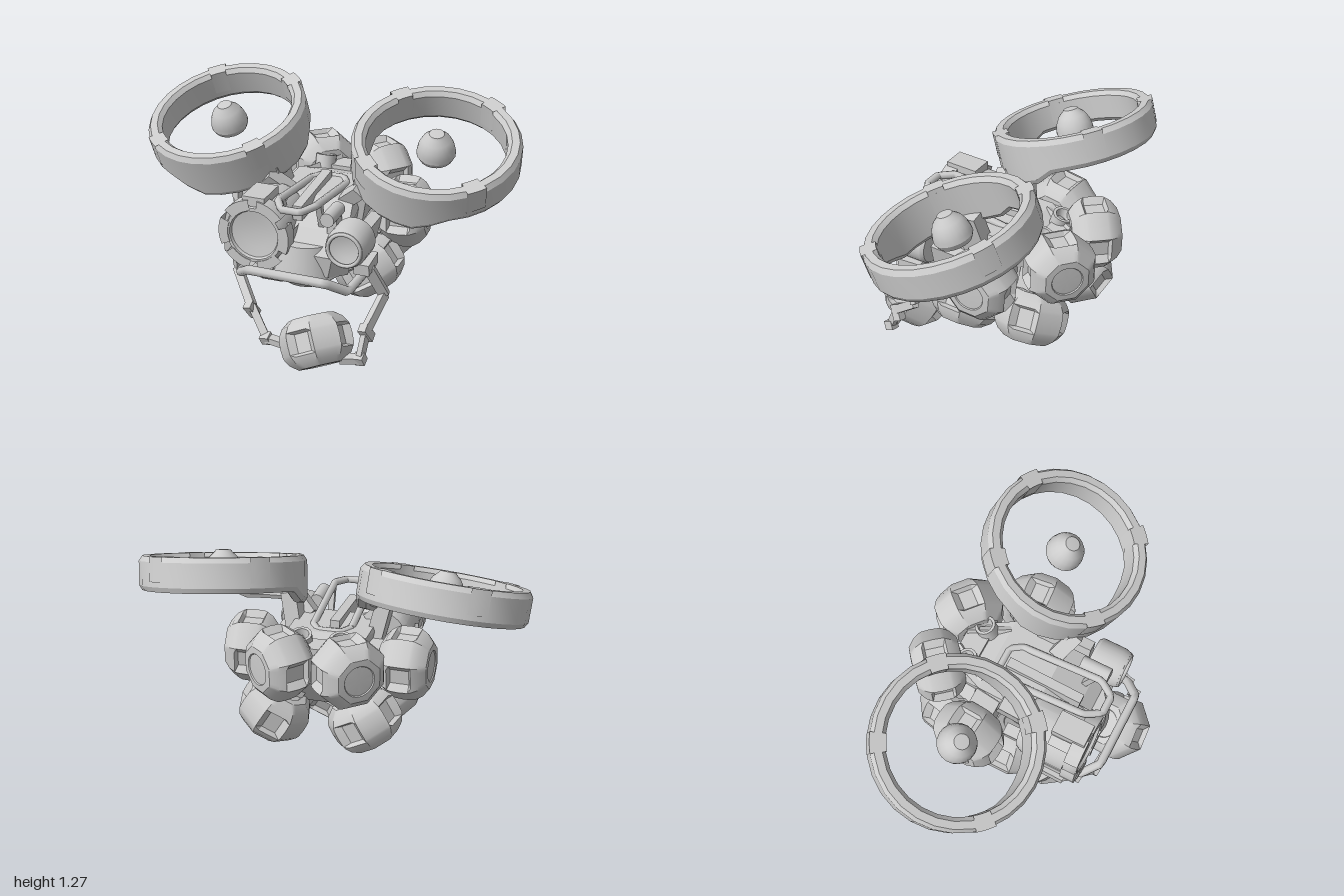
import * as THREE from 'three';
import { toCreasedNormals } from 'three/addons/utils/BufferGeometryUtils.js';

const mat = new THREE.MeshStandardMaterial({ color: 0xcccccc, side: THREE.DoubleSide });
const V = (x, y, z) => new THREE.Vector3(x, y, z);
const UP = V(0, 1, 0);

function add(parent, name, geo, x = 0, y = 0, z = 0, rx = 0, ry = 0, rz = 0) {
  const m = new THREE.Mesh(geo, mat);
  m.name = name;
  m.position.set(x, y, z);
  m.rotation.set(rx, ry, rz);
  parent.add(m);
  return m;
}
const rawLathe = (pts, seg, start = 0, len = Math.PI * 2) =>
  new THREE.LatheGeometry(pts.map(p => new THREE.Vector2(...p)), seg, start, len);
const lathe = (pts, seg) => toCreasedNormals(rawLathe(pts, seg), 0.5);
const box = (w, h, d) => new THREE.BoxGeometry(w, h, d);

// Curved block following a circle, centred on angle a
const arcBlock = (r0, r1, y0, y1, a, len) => toCreasedNormals(
  rawLathe([[r0, y0], [r1, y0], [r1, y1], [r0, y1], [r0, y0]], 5, a - len / 2, len), 0.5);

// Bent pipe with straight runs between points
function pipe(parent, name, pts, r, closed = false) {
  const path = new THREE.CurvePath();
  const p = pts.map(a => V(...a));
  if (closed) p.push(p[0]);
  for (let i = 1; i < p.length; i++) path.add(new THREE.LineCurve3(p[i - 1], p[i]));
  add(parent, name, new THREE.TubeGeometry(path, (p.length - 1) * 8, r, 8, false));
}

// Flat bar stretched between two points
function bar(parent, name, a, b, w, d) {
  const A = V(...a), B = V(...b), dir = B.clone().sub(A);
  const m = add(parent, name, box(w, dir.length(), d));
  m.position.copy(A).add(B).multiplyScalar(0.5);
  m.quaternion.setFromUnitVectors(UP, dir.normalize());
}

// Barrel pod: eight-sided belt with four windows pressed into it
const half = [[0, 0.122], [0.076, 0.122], [0.08, 0.128], [0.112, 0.126], [0.15, 0.095], [0.17, 0.062], [0.175, 0.048], [0.178, 0]];
const podBase = rawLathe([...half.map(([r, y]) => [r, -y]), ...half.slice(0, -1).reverse()], 48);
const pp = podBase.attributes.position;
for (let i = 0; i < pp.count; i++) {
  const x = pp.getX(i), z = pp.getZ(i), r = Math.hypot(x, z);
  if (r < 0.1) continue;
  const a = Math.atan2(x, z), near = Math.round(a / (Math.PI / 4)) * Math.PI / 4;
  const inWindow = Math.abs(pp.getY(i)) < 0.05 && Math.min(Math.abs(x), Math.abs(z)) < 0.05;
  const R = inWindow ? 0.142 / Math.cos(a - near) : r * 0.975 / Math.cos(a - near);
  pp.setX(i, R * Math.sin(a));
  pp.setZ(i, R * Math.cos(a));
}
const podGeo = toCreasedNormals(podBase, 0.5);

function pod(parent, name, pos, axis, spin = 0) {
  const m = add(parent, name, podGeo, ...pos);
  m.quaternion.setFromUnitVectors(UP, V(...axis).normalize());
  m.rotateY(spin);
}

// Ducted ring: lower lip drops on the inner front side
function rotor(parent, s) {
  const g = new THREE.Group();
  g.name = s > 0 ? 'leftRotor' : 'rightRotor';
  g.position.set(s * 0.57, 1.063, -0.11);
  g.rotation.set(0.33, 0, -s * 0.085);
  const geo = rawLathe([[0.372, -0.085], [0.412, -0.085], [0.427, -0.06], [0.427, 0.062], [0.41, 0.088],
    [0.372, 0.088], [0.352, 0.065], [0.355, -0.065], [0.372, -0.085]], 28);
  const p = geo.attributes.position;
  for (let i = 0; i < p.count; i++) {
    if (p.getY(i) > -0.05) continue;
    const c = (-s * 0.66 * p.getX(i) + 0.75 * p.getZ(i)) / Math.hypot(p.getX(i), p.getZ(i));
    p.setY(i, p.getY(i) - 0.07 * THREE.MathUtils.smoothstep(c, 0.42, 0.75));
  }
  add(g, 'ductRing', toCreasedNormals(geo, 0.5));
  for (const a of [0.75, 2.6, 3.9, 5.5]) {
    add(g, 'ductClamp', arcBlock(0.35, 0.43, -0.035, 0.089, s * a, 0.24));
  }
  add(g, 'rotorHub', lathe([[0, -0.06], [0.05, -0.055], [0.085, -0.038], [0.099, -0.01], [0.098, 0.01], [0.09, 0.045],
    [0.072, 0.08], [0.045, 0.105], [0.038, 0.115], [0, 0.118]], 20));
  parent.add(g);
  // Pylon carrying the ring
  bar(parent, 'rotorPylon', [s * 0.2, 0.7, -0.02], [s * 0.25, 0.94, 0.03], 0.08, 0.14);
  bar(parent, 'pylonBrace', [s * 0.15, 0.8, 0.06], [s * 0.26, 0.9, 0.12], 0.07, 0.08);
}

// Forward lamp with a shallow dish
function lamp(parent, name, x, y, z, r, len) {
  const g = new THREE.Group();
  g.name = name;
  g.position.set(x, y, z);
  g.rotation.x = Math.PI / 2;
  add(g, 'lampHousing', lathe([[0, -len], [0.9 * r, -len], [r, -len * 0.9], [r, -0.04], [0.9 * r, 0],
    [0.8 * r, 0], [0.76 * r, -0.015], [0.45 * r, -0.024], [0, -0.028]], 24));
  parent.add(g);
  return g;
}

export function createModel() {
  const model = new THREE.Group();
  model.name = 'hoverPodCraft';

  // Hull from a side profile, narrowed toward the top and the tail
  const prof = [[0.38, 0.62], [0.36, 0.5], [0.2, 0.45], [-0.28, 0.48], [-0.4, 0.64], [-0.38, 0.78], [-0.2, 0.83],
    [0.1, 0.82], [0.28, 0.72]];
  const hullGeo = new THREE.ExtrudeGeometry(new THREE.Shape(prof.map(p => new THREE.Vector2(...p))),
    { depth: 0.5, bevelEnabled: false });
  hullGeo.translate(0, 0, -0.25).rotateY(-Math.PI / 2);
  const hp = hullGeo.attributes.position;
  for (let i = 0; i < hp.count; i++) {
    const y = hp.getY(i), z = hp.getZ(i);
    hp.setX(i, hp.getX(i) * (1 - 1.2 * Math.abs(y - 0.62)) * (z < -0.25 ? 0.6 : z > 0.35 ? 0.8 : 1.1));
  }
  hullGeo.computeVertexNormals();
  add(model, 'hull', hullGeo);
  add(model, 'spine', box(0.05, 0.08, 0.42), -0.02, 0.81, 0.08, 0.08);
  add(model, 'noseDrum', new THREE.CylinderGeometry(0.15, 0.18, 0.18, 24), 0.02, 0.57, 0.25);
  add(model, 'noseKeel', new THREE.CylinderGeometry(0.18, 0.12, 0.05, 24), 0.02, 0.455, 0.25);

  // Rotors
  for (const s of [-1, 1]) rotor(model, s);

  // Pods clustered around the sides, tail and belly
  for (const s of [-1, 1]) {
    const side = s > 0 ? 'left' : 'right';
    pod(model, side + 'SidePod', [s * 0.405, 0.69, -0.155], [s, 0.02, -0.08]);
    pod(model, side + 'TailPod', [s * 0.172, 0.765, -0.46], [s * 0.65, 0, -0.76], s * Math.atan2(0.65, -0.76));
    pod(model, side + 'BellyPodFront', [s * 0.27, 0.43, 0.02], [s * 0.55, -0.8, 0]);
    pod(model, side + 'BellyPodRear', [s * 0.235, 0.45, -0.35], [s * 0.5, -0.82, -0.06]);
    // Pod mounts, side panels and tail nozzles
    bar(model, 'podMount', [s * 0.1, 0.65, -0.28], [s * 0.22, 0.46, -0.3], 0.12, 0.12);
    bar(model, 'sidePodMount', [s * 0.15, 0.7, -0.15], [s * 0.33, 0.7, -0.15], 0.14, 0.14);
    add(model, 'sidePanel', box(0.06, 0.22, 0.2), s * 0.28, 0.62, 0.1, 0, 0, -s * 0.2);
    add(model, 'tailNozzle', lathe([[0.04, -0.08], [0.055, -0.08], [0.055, 0.05], [0.04, 0.05], [0.03, 0], [0, 0]], 16),
      s * 0.1, 0.82, -0.31, -0.3);
    bar(model, 'tailFrame', [s * 0.04, 0.82, -0.4], [s * 0.15, 0.81, -0.2], 0.03, 0.05);
  }
  add(model, 'tailBlock', box(0.16, 0.1, 0.12), 0, 0.78, -0.34);

  // Large lamp with its segmented collar, small lamp and scope
  const big = lamp(model, 'largeLamp', -0.2, 0.7, 0.425, 0.165, 0.34);
  for (let i = 0; i < 6; i++) {
    const a = i * Math.PI / 3 + Math.PI / 6;
    add(big, 'collarClamp', arcBlock(0.14, 0.19, -0.07, 0.005, a, 0.8));
    add(big, 'collarRib', arcBlock(0.15, 0.182, -0.18, -0.07, a, 0.3));
  }
  add(model, 'lampTopPlate', box(0.12, 0.05, 0.18), -0.2, 0.88, 0.33);
  lamp(model, 'smallLamp', 0.27, 0.69, 0.4, 0.108, 0.18);
  add(model, 'smallLampRim', new THREE.TorusGeometry(0.085, 0.01, 8, 24), 0.27, 0.69, 0.4);
  add(model, 'scope', new THREE.CylinderGeometry(0.037, 0.037, 0.16, 16), 0.165, 0.815, 0.28, Math.PI / 2);
  add(model, 'scopeMount', box(0.05, 0.1, 0.08), 0.165, 0.75, 0.25);

  // Roof rail loop and front bumper
  pipe(model, 'roofRail', [[-0.1, 0.82, -0.1], [-0.06, 0.82, -0.16], [0.06, 0.82, -0.16], [0.1, 0.82, -0.1],
    [0.1, 0.875, 0.34], [0.05, 0.865, 0.42], [-0.05, 0.865, 0.42], [-0.1, 0.875, 0.34]], 0.02, true);
  for (const s of [-1, 1]) bar(model, 'railPost', [s * 0.1, 0.87, 0.3], [s * 0.1, 0.7, 0.24], 0.03, 0.03);
  pipe(model, 'bumper', [[-0.29, 0.48, 0.15], [-0.28, 0.48, 0.42], [-0.2, 0.545, 0.5], [0.22, 0.545, 0.5],
    [0.3, 0.48, 0.42], [0.31, 0.48, 0.15]], 0.024);

  // Jointed arms reaching down to the front pod
  for (const s of [-1, 1]) add(model, 'armShoulder', box(0.08, 0.06, 0.14), s * 0.35, 0.59, 0.3, 0.1);
  const arms = [
    [[0.37, 0.57, 0.31], [0.43, 0.4, 0.24], [0.39, 0.27, 0.39], [0.38, 0.13, 0.45], [0.28, 0.12, 0.47]],
    [[-0.35, 0.56, 0.31], [-0.38, 0.4, 0.24], [-0.24, 0.27, 0.38], [-0.13, 0.14, 0.45], [0, 0.13, 0.46]],
  ];
  for (const a of arms) {
    bar(model, 'upperArm', a[0], a[1], 0.03, 0.055);
    bar(model, 'forearm', a[1], a[2], 0.035, 0.045);
    bar(model, 'forkArm', a[2], a[3], 0.03, 0.04);
    bar(model, 'forkFinger', a[3], a[4], 0.035, 0.045);
    add(model, 'wristJoint', box(0.045, 0.09, 0.05), a[2][0], a[2][1] - 0.02, a[2][2], 0.5, 0, 0.3);
    add(model, 'fingerJoint', box(0.05, 0.05, 0.05), ...a[3], 0.4, 0, 0.2);
  }
  pod(model, 'frontPod', [0.145, 0.182, 0.45], [0.4, -0.8, 0.42]);
  return model;
}
